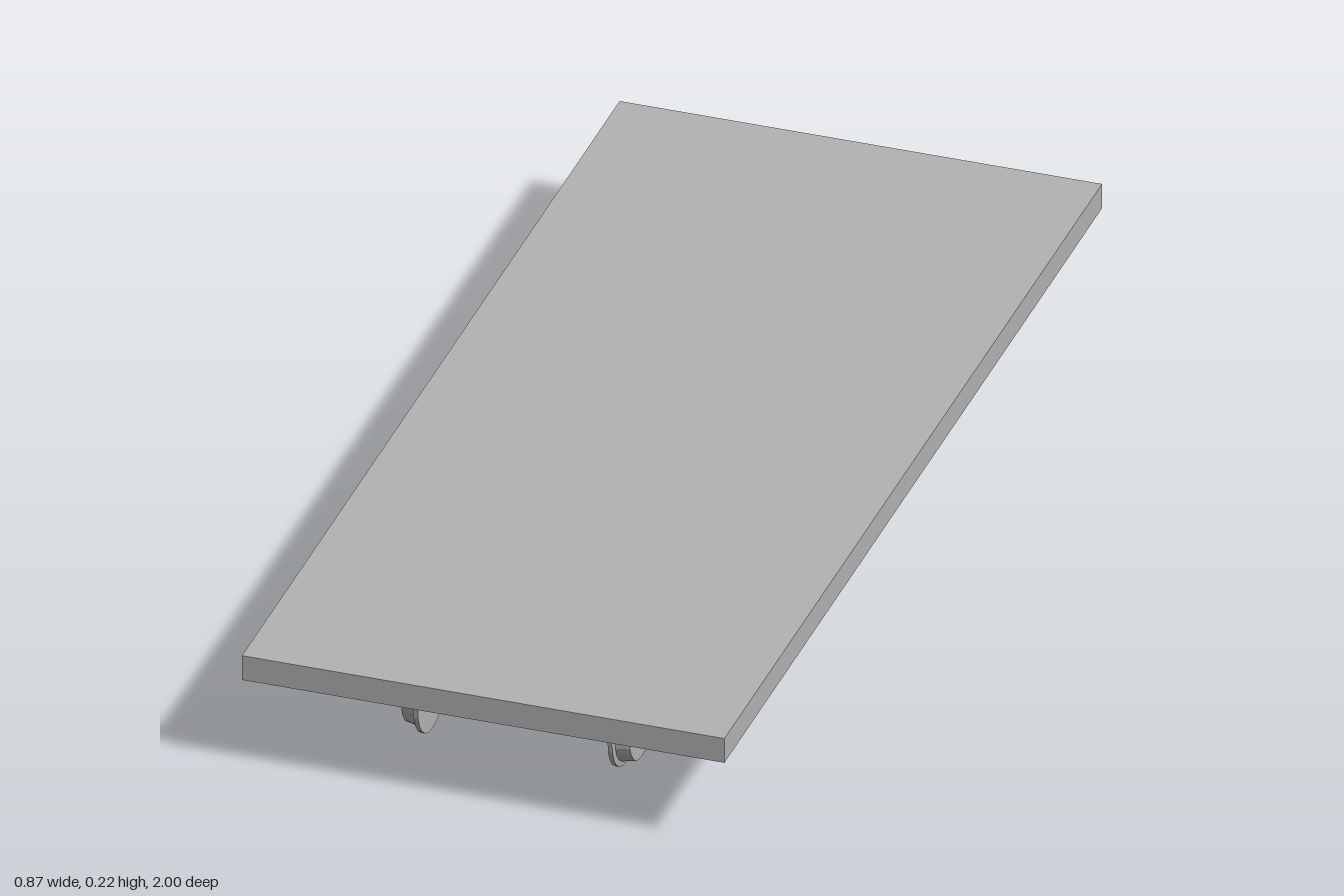
import * as THREE from 'three';

export function createModel() {
  const model = new THREE.Group();
  const steel = new THREE.MeshStandardMaterial({ color: 0xb2b2b2, flatShading: true });
  steel.name = 'plain grey';

  const add = (parent, name, geometry, x = 0, y = 0, z = 0) => {
    const mesh = new THREE.Mesh(geometry, steel);
    mesh.name = name;
    mesh.position.set(x, y, z);
    parent.add(mesh);
    return mesh;
  };

  // Flat deck
  add(model, 'deck', new THREE.BoxGeometry(0.874, 0.048, 2), 0, 0.199, 0);

  // Flanged wheel, turned around x with its flange on the inside
  const wheelProfile = [
    [0, 0.172], [0.08, 0.172], [0.08, 0.18], [0.07, 0.182], [0.065, 0.207], [0, 0.207],
  ].map(([r, x]) => new THREE.Vector2(r, x));
  const wheelGeometry = new THREE.LatheGeometry(wheelProfile, 24).rotateZ(-Math.PI / 2);

  // Rods across the truck
  const axleGeometry = new THREE.CylinderGeometry(0.0125, 0.0125, 0.484, 12).rotateZ(Math.PI / 2);
  const bolsterGeometry = new THREE.CylinderGeometry(0.018, 0.018, 0.43, 12).rotateZ(Math.PI / 2);

  // Side beam outline, slightly arched in the middle
  const outline = [
    [-0.272, 0.076], [-0.16, 0.076], [-0.04, 0.084], [0.04, 0.084], [0.16, 0.076], [0.272, 0.076],
    [0.272, 0.116], [0.16, 0.116], [0.04, 0.131], [-0.04, 0.131], [-0.16, 0.116], [-0.272, 0.116],
  ].map(([z, y]) => new THREE.Vector2(z, y));
  const beamGeometry = new THREE.ExtrudeGeometry(new THREE.Shape(outline), { depth: 0.051, bevelEnabled: false })
    .translate(0, 0, 0.207)
    .rotateY(Math.PI / 2);

  // Two trucks with four wheels each
  for (const [name, z] of [['frontTruck', 0.52], ['rearTruck', -0.541]]) {
    const truck = new THREE.Group();
    truck.name = name;
    truck.position.z = z;
    model.add(truck);

    add(truck, 'pivotPost', new THREE.CylinderGeometry(0.046, 0.042, 0.1, 20), 0, 0.126, 0);
    add(truck, 'bolster', bolsterGeometry, 0, 0.104, 0);
    for (const end of [-1, 1]) add(truck, 'axle', axleGeometry, 0, 0.081, end * 0.244);

    for (const turn of [0, Math.PI]) {
      add(truck, 'sideBeam', beamGeometry).rotation.y = turn;
      for (const end of [-1, 1]) {
        add(truck, 'wheel', wheelGeometry, 0, 0.08, end * 0.244).rotation.y = turn;
      }
    }
  }
  return model;
}
